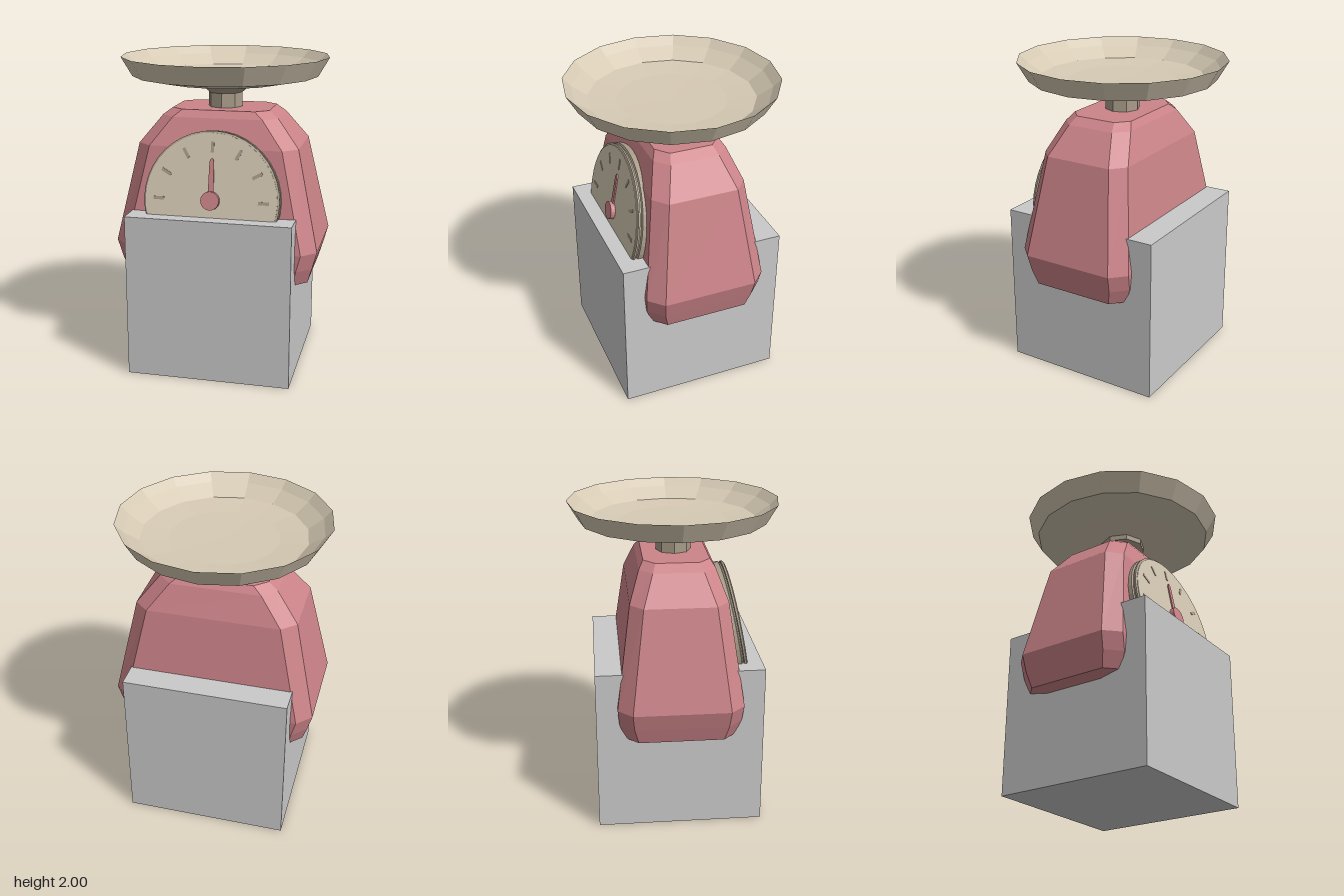
import * as THREE from 'three';

const mat = (name, color, flatShading = true) => {
  const m = new THREE.MeshStandardMaterial({ color, flatShading });
  m.name = name;
  return m;
};

// Stack of chamfered rectangles: [y, halfX, halfZ, cutX, cutZ]
function chamferedLoft(levels) {
  const rings = levels.map(([y, x, z, cx, cz]) => [
    [x, z - cz], [x, cz - z], [x - cx, -z], [cx - x, -z],
    [-x, cz - z], [-x, z - cz], [cx - x, z], [x - cx, z],
  ].map(([px, pz]) => [px, y, pz]));
  const out = [];
  const tri = (...pts) => pts.forEach((p) => out.push(...p));
  for (let k = 0; k < rings.length - 1; k++) {
    for (let i = 0; i < 8; i++) {
      const j = (i + 1) % 8, a = rings[k], b = rings[k + 1];
      tri(a[i], a[j], b[j]);
      tri(a[i], b[j], b[i]);
    }
  }
  const bottom = rings[0], top = rings[rings.length - 1];
  for (let i = 1; i < 7; i++) {
    tri(top[0], top[i], top[i + 1]);
    tri(bottom[0], bottom[i + 1], bottom[i]);
  }
  const g = new THREE.BufferGeometry();
  g.setAttribute('position', new THREE.Float32BufferAttribute(out, 3));
  g.computeVertexNormals();
  return g;
}

const lathe = (pts, sides) =>
  new THREE.LatheGeometry(pts.map(([r, y]) => new THREE.Vector2(r, y)), sides);

export function createModel() {
  const red = mat('dusty red', 0xcc8489);
  const cream = mat('cream', 0xd6cab4);
  const taupe = mat('taupe', 0xa99d8a);
  const grey = mat('light grey', 0xcacaca);

  const model = new THREE.Group();
  model.name = 'kitchenScale';
  const add = (name, geometry, material, parent = model) => {
    const mesh = new THREE.Mesh(geometry, material);
    mesh.name = name;
    parent.add(mesh);
    return mesh;
  };

  // Plain block the scale straddles
  add('block', new THREE.BoxGeometry(1.045, 1.05, 1.045), grey).position.y = 0.525;

  // Tapered housing
  add('housing', chamferedLoft([
    [0.59, 0.52, 0.27, 0.07, 0.07],
    [0.62, 0.59, 0.345, 0.08, 0.08],
    [0.72, 0.62, 0.38, 0.09, 0.09],
    [0.83, 0.65, 0.39, 0.09, 0.09],
    [1.46, 0.51, 0.3, 0.09, 0.08],
    [1.635, 0.37, 0.235, 0.085, 0.08],
    [1.68, 0.31, 0.205, 0.08, 0.07],
  ]), red);

  // Stem with flared collar
  add('stem', lathe([[0.11, 1.66], [0.11, 1.77], [0.15, 1.805], [0.15, 1.85], [0, 1.85]], 8), taupe);

  // Shallow weighing pan
  add('pan', lathe([
    [0, 1.84], [0.39, 1.84], [0.59, 1.88], [0.66, 2], [0.61, 1.95],
    [0.515, 1.885], [0.34, 1.87], [0, 1.865],
  ], 16), cream);

  // Tilted dial, built facing +z around its centre
  const dial = new THREE.Group();
  dial.name = 'dial';
  dial.position.set(0, 1.155, 0.408);
  dial.rotation.x = -0.18;
  model.add(dial);

  const rim = lathe([[0, -0.09], [0.43, -0.09], [0.43, -0.035], [0.418, -0.03],
    [0.418, -0.022], [0.428, -0.018], [0.428, -0.006], [0.416, -0.001], [0, -0.001]], 40);
  add('dialRim', rim.rotateX(Math.PI / 2), taupe, dial);
  const face = new THREE.CylinderGeometry(0.416, 0.416, 0.004, 40).rotateX(Math.PI / 2);
  add('dialFace', face, cream, dial);

  // Tick marks every thirty degrees
  for (let i = 0; i < 12; i++) {
    const a = (i * Math.PI) / 6;
    const tick = add('tick', new THREE.BoxGeometry(0.02, 0.068, 0.004), taupe, dial);
    tick.position.set(Math.sin(a) * 0.33, Math.cos(a) * 0.33, 0.003);
    tick.rotation.z = -a;
  }

  // Needle and hub
  const needle = new THREE.Shape([[-0.018, 0], [0.018, 0], [0.014, 0.24], [0.005, 0.26],
    [-0.005, 0.26], [-0.014, 0.24]].map(([x, y]) => new THREE.Vector2(x, y)));
  add('needle', new THREE.ExtrudeGeometry(needle, { depth: 0.008, bevelEnabled: false }), red, dial)
    .position.z = 0.003;
  const hub = new THREE.CylinderGeometry(0.058, 0.058, 0.03, 20).rotateX(Math.PI / 2);
  add('needleHub', hub, red, dial).position.z = 0.016;

  return model;
}
